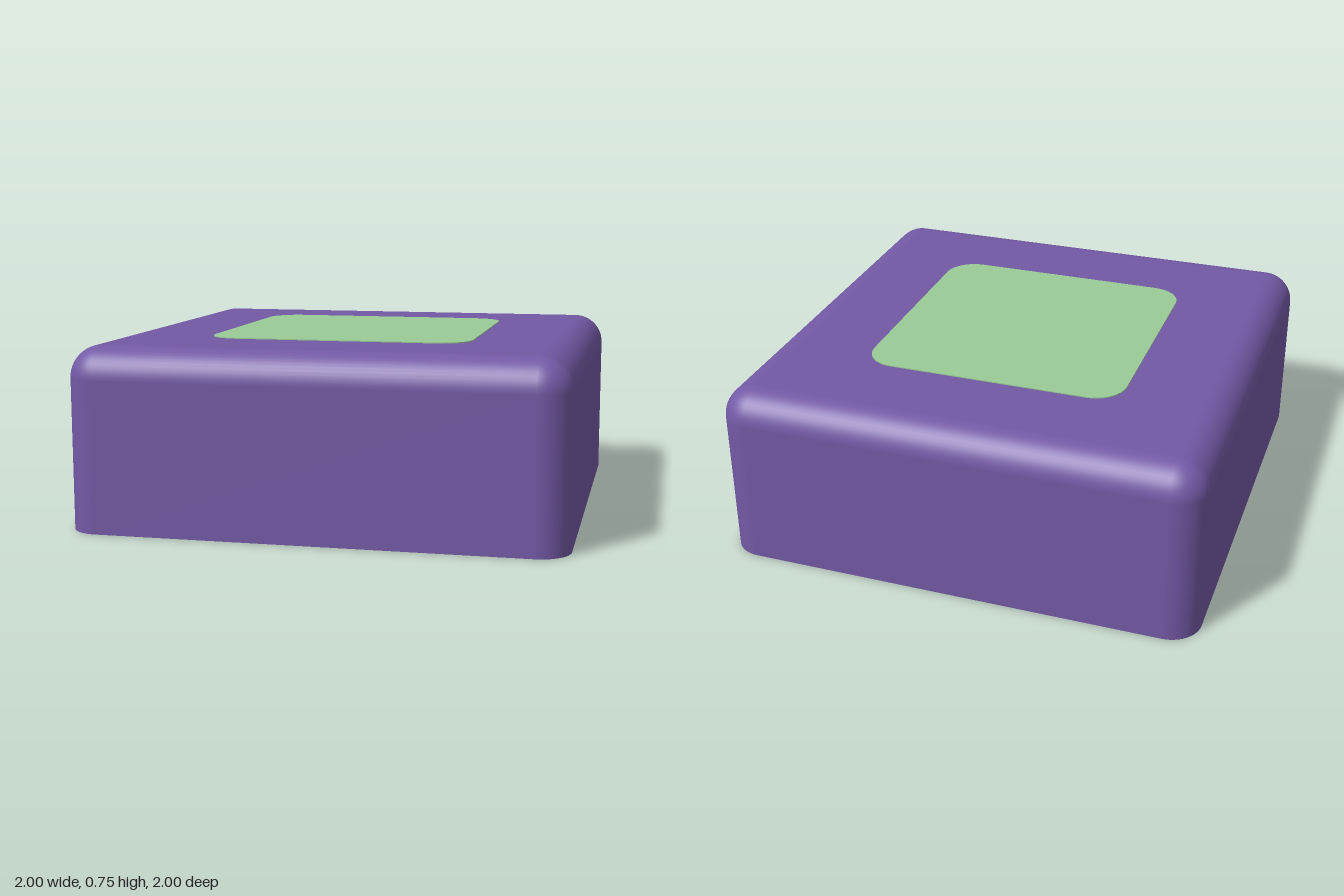
import * as THREE from 'three';
import { toCreasedNormals } from 'three/addons/utils/BufferGeometryUtils.js';

const H = 0.745, R = 0.13;            // height and outer corner radius
const INNER = 0.875, INNER_R = 0.08;  // cavity half width and corner radius
const CEILING = 0.62, STEM_BOTTOM = 0.11, STEM_R = 0.31;

// Sweep a profile of [radius, y, normalOut, normalY] around a rounded square
// whose corner centres lie at +-c.
function sweepSquare(c, profile, steps = 12) {
  const dirs = [];
  for (let q = 0; q < 4; q++) {
    const mid = (q + 0.5) * Math.PI / 2;
    for (let i = 0; i <= steps; i++) {
      const a = (q + i / steps) * Math.PI / 2;
      dirs.push([Math.sign(Math.cos(mid)) * c, Math.sign(Math.sin(mid)) * c, Math.cos(a), Math.sin(a)]);
    }
  }
  dirs.push(dirs[0]);
  const pos = [], nor = [], idx = [], n = dirs.length;
  profile.forEach(([r, y, out, up], j) => dirs.forEach(([cx, cz, dx, dz], i) => {
    pos.push(cx + dx * r, y, cz + dz * r);
    nor.push(dx * out, up, dz * out);
    if (j < profile.length - 1 && i < n - 1) {
      const a = j * n + i;
      idx.push(a, a + n, a + 1, a + 1, a + n, a + n + 1);
    }
  }));
  const g = new THREE.BufferGeometry();
  g.setAttribute('position', new THREE.Float32BufferAttribute(pos, 3));
  g.setAttribute('normal', new THREE.Float32BufferAttribute(nor, 3));
  g.setIndex(idx);
  return g;
}

// Rounded square outline
function roundedSquare(half, r, Type = THREE.Shape) {
  const s = new Type(), c = half - r;
  s.absarc(c, c, r, 0, Math.PI / 2);
  s.absarc(-c, c, r, Math.PI / 2, Math.PI);
  s.absarc(-c, -c, r, Math.PI, Math.PI * 1.5);
  s.absarc(c, -c, r, Math.PI * 1.5, Math.PI * 2);
  s.closePath();
  return s;
}

export function createModel() {
  const group = new THREE.Group();
  const purple = new THREE.MeshStandardMaterial({ color: 0x7359a5 });
  purple.name = 'purple plastic';
  const green = new THREE.MeshStandardMaterial({ color: 0x9acb96 });
  green.name = 'pale green';
  const add = (name, geometry, material = purple) => {
    const m = new THREE.Mesh(geometry, material);
    m.name = name;
    group.add(m);
    return m;
  };

  // Outer skin: upright sides rolling over into the top
  const outer = [[R, 0, 1, 0]];
  for (let i = 0; i <= 12; i++) {
    const a = i / 12 * Math.PI / 2, c = Math.cos(a), s = Math.sin(a);
    outer.push([R * c, H - R + R * s, c, s]);
  }
  add('outerShell', sweepSquare(1 - R, outer));
  const flat = 2 * (1 - R);
  add('topFace', new THREE.PlaneGeometry(flat, flat).rotateX(-Math.PI / 2).translate(0, H, 0));

  // Bottom rim
  const rim = roundedSquare(1, R);
  rim.holes.push(roundedSquare(INNER, INNER_R, THREE.Path));
  add('bottomRim', new THREE.ShapeGeometry(rim, 12).rotateX(Math.PI / 2));

  // Hollow inside
  add('innerWalls', sweepSquare(INNER - INNER_R, [[INNER_R, CEILING, -1, 0], [INNER_R, 0, -1, 0]]));
  add('ceiling', new THREE.PlaneGeometry(2 * INNER, 2 * INNER).rotateX(Math.PI / 2).translate(0, CEILING, 0));

  // Stem with a cross-shaped socket
  const stem = new THREE.Shape().absarc(0, 0, STEM_R, 0, Math.PI * 2);
  const L = 0.228, w = 0.07;
  const cross = [[w, L], [w, w], [L, w], [L, -w], [w, -w], [w, -L],
    [-w, -L], [-w, -w], [-L, -w], [-L, w], [-w, w], [-w, L]];
  stem.holes.push(new THREE.Path(cross.map(([x, y]) => new THREE.Vector2(x, y))));
  const stemGeometry = new THREE.ExtrudeGeometry(stem, {
    depth: CEILING - STEM_BOTTOM, bevelEnabled: false, curveSegments: 32,
  }).rotateX(Math.PI / 2).translate(0, CEILING, 0);
  add('stem', toCreasedNormals(stemGeometry, 0.6));

  // Fillet where the stem meets the ceiling
  const fillet = [], f = 0.06;
  for (let i = 0; i <= 6; i++) {
    const a = i / 6 * Math.PI / 2;
    fillet.push(new THREE.Vector2(STEM_R + f * (1 - Math.cos(a)), CEILING - f + f * Math.sin(a)));
  }
  add('stemFillet', new THREE.LatheGeometry(fillet, 48));

  // Inlaid panel on the top
  add('topPanel', new THREE.ExtrudeGeometry(roundedSquare(0.55, 0.13), {
    depth: 0.004, bevelEnabled: false, curveSegments: 4,
  }).rotateX(-Math.PI / 2).translate(0, H, 0), green);

  return group;
}
